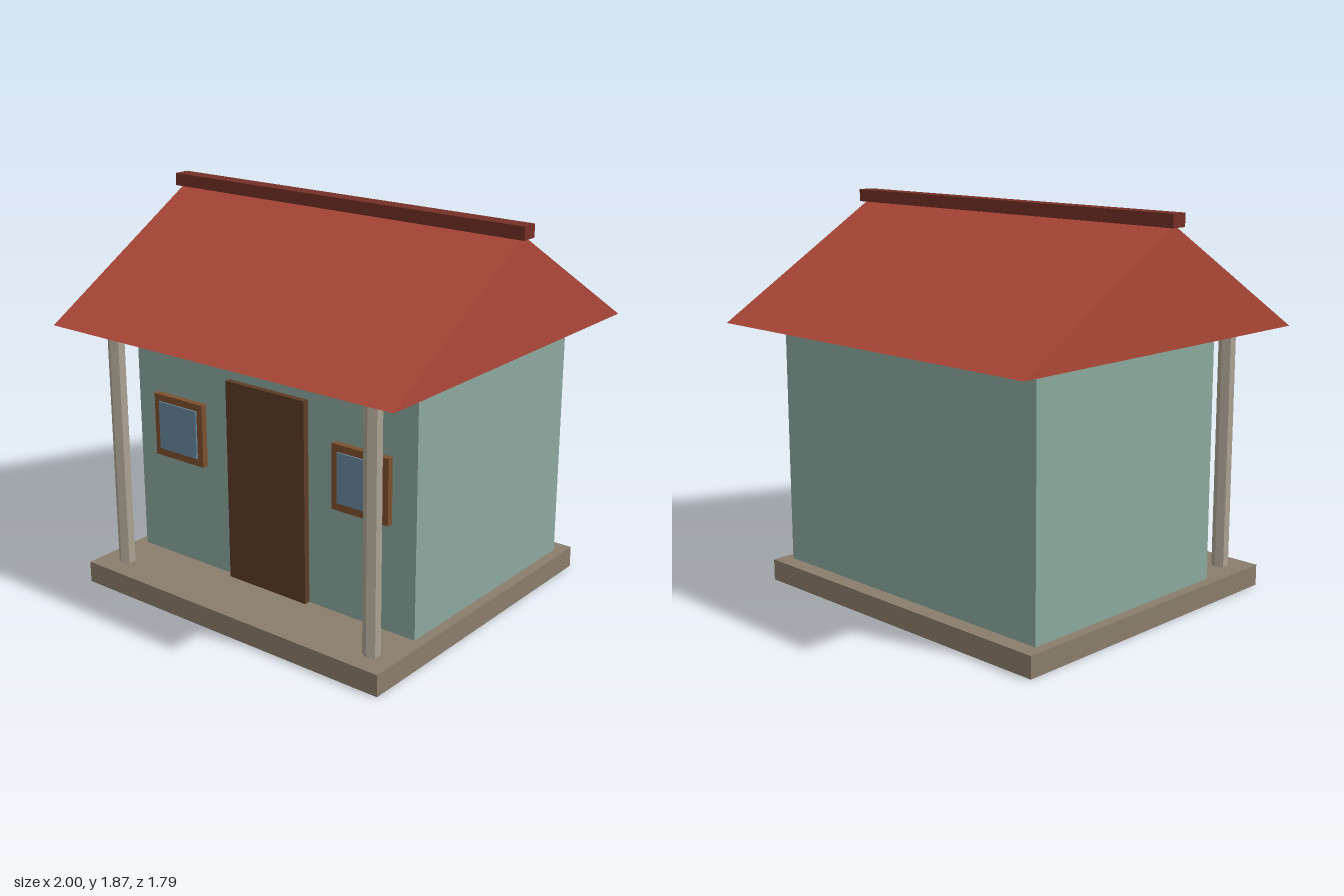
import * as THREE from 'three';

const mat = (color) => new THREE.MeshStandardMaterial({ color, flatShading: true });

export function createModel() {
  const house = new THREE.Group();
  house.name = 'house';

  const stone = mat(0x8a7d6c);
  const plaster = mat(0x8ca99e);
  const roofRed = mat(0xae4838);
  const ridgeRed = mat(0x742f26);
  const postWood = mat(0xaaa192);
  const doorWood = mat(0x5c3c27);
  const frameWood = mat(0x7d502f);
  const glass = mat(0x66879d);

  const add = (name, geometry, material) => {
    const mesh = new THREE.Mesh(geometry, material);
    mesh.name = name;
    house.add(mesh);
    return mesh;
  };

  // Box given by its lower and upper limits on each axis
  const box = (name, material, [x0, x1], [y0, y1], [z0, z1]) =>
    add(name, new THREE.BoxGeometry(x1 - x0, y1 - y0, z1 - z0), material)
      .position.set((x0 + x1) / 2, (y0 + y1) / 2, (z0 + z1) / 2);

  // Plinth, walls and door
  box('base', stone, [-0.87, 0.87], [0, 0.103], [-0.745, 0.85]);
  box('walls', plaster, [-0.82, 0.82], [0.103, 1.287], [-0.665, 0.515]);
  box('door', doorWood, [-0.23, 0.23], [0.103, 1.08], [0.5, 0.545]);

  // Solid gable roof: triangle in the zy plane, extruded along x
  const gable = new THREE.Shape();
  gable.moveTo(-0.895, 1.287);
  gable.lineTo(0.895, 1.287);
  gable.lineTo(0, 1.82);
  gable.closePath();
  const roof = new THREE.ExtrudeGeometry(gable, { depth: 1.94, bevelEnabled: false });
  roof.translate(0, 0, -0.97).rotateY(Math.PI / 2);
  add('roof', roof, roofRed);
  box('ridgeBeam', ridgeRed, [-1, 1], [1.808, 1.868], [-0.04, 0.04]);

  // Windows and six-sided porch posts, mirrored left and right
  for (const [side, s] of [['left', 1], ['right', -1]]) {
    const span = (c, half) => [s * c - half, s * c + half];
    box(side + 'WindowFrame', frameWood, span(0.538, 0.153), [0.617, 0.925], [0.5, 0.545]);
    box(side + 'WindowGlass', glass, span(0.538, 0.119), [0.655, 0.891], [0.5, 0.553]);

    const post = add(side + 'Post', new THREE.CylinderGeometry(0.04, 0.04, 1.184, 6), postWood);
    post.position.set(s * 0.744, 0.695, 0.723);
  }

  return house;
}
